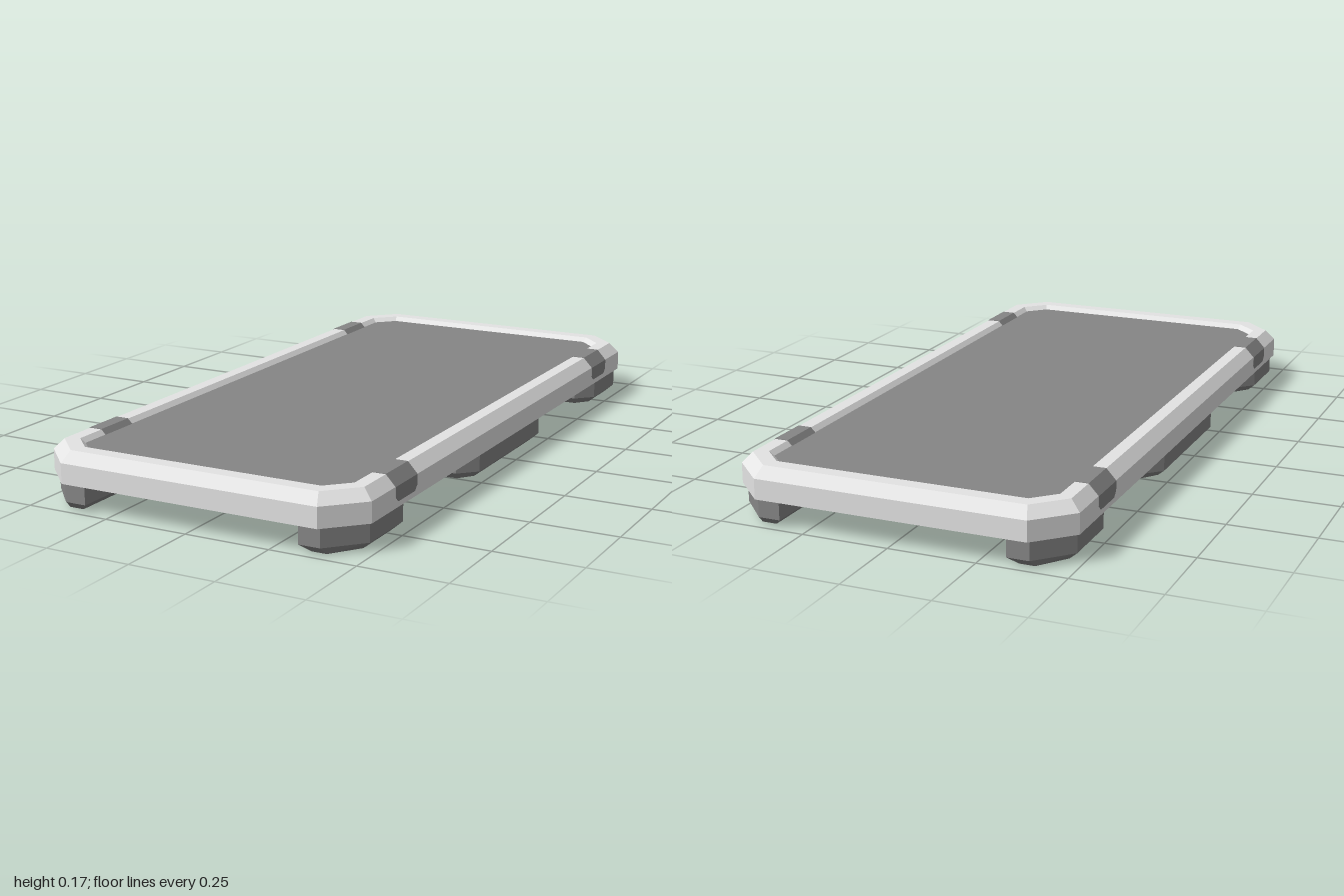
import * as THREE from 'three';

const frameMat = new THREE.MeshStandardMaterial({ name: 'light grey frame', color: 0xe4e4e4 });
const darkMat = new THREE.MeshStandardMaterial({ name: 'mid grey', color: 0x868686 });

// Skin a row of closed rings of [x, y, z] with flat faces and close both convex ends.
function loft(name, rings, material) {
  const pos = [];
  const tri = (a, b, c) => pos.push(...a, ...b, ...c);
  const n = rings[0].length;
  for (let k = 0; k + 1 < rings.length; k++) {
    for (let i = 0; i < n; i++) {
      const j = (i + 1) % n, p = rings[k], q = rings[k + 1];
      tri(p[i], p[j], q[j]);
      tri(p[i], q[j], q[i]);
    }
  }
  const first = rings[0], last = rings[rings.length - 1];
  for (let i = 1; i + 1 < n; i++) {
    tri(first[0], first[i + 1], first[i]);
    tri(last[0], last[i], last[i + 1]);
  }
  const geo = new THREE.BufferGeometry();
  geo.setAttribute('position', new THREE.Float32BufferAttribute(pos, 3));
  geo.computeVertexNormals();
  const mesh = new THREE.Mesh(geo, material);
  mesh.name = name;
  return mesh;
}

// Rectangle with cut corners, inset from the outer edge, at height y.
function outline(y, insetX, insetZ) {
  const x = 0.49 - insetX, z = 1 - insetZ, c = 0.1 - 0.586 * insetX;
  return [[x, z - c], [x, c - z], [x - c, -z], [c - x, -z],
    [-x, c - z], [-x, z - c], [c - x, z], [x - c, z]].map(([px, pz]) => [px, y, pz]);
}

// Mirror rings, keeping the faces outward.
function mirror(rings, sx, sz) {
  return rings.map((ring) => {
    const r = ring.map(([x, y, z]) => [x * sx, y, z * sz]);
    return sx * sz < 0 ? r.reverse() : r;
  });
}

// Foot with a bevelled sole, from its plan around a centre.
function footRings(plan, cx, cz, hx, hz) {
  const ring = (y, inset) => plan.map(([x, z]) =>
    [cx + (x - cx) * (1 - inset / hx), y, cz + (z - cz) * (1 - inset / hz)]);
  return [ring(0, 0.025), ring(0.022, 0), ring(0.078, 0)];
}

export function createModel() {
  const model = new THREE.Group();
  model.name = 'tray';

  // Bevelled body with its underside, and the sunken top panel
  model.add(loft('frame', [outline(0.077, 0, 0), outline(0.135, 0, 0), outline(0.165, 0.028, 0.03),
    outline(0.165, 0.066, 0.072), outline(0.15, 0.08, 0.088)], frameMat));
  model.add(loft('topPanel', [outline(0.149, 0.079, 0.087), outline(0.152, 0.079, 0.087)], darkMat));

  // Grip bands wrapped over the long sides
  const band = (z, low) => [[0.4915, low, z], [0.4915, 0.1355, z], [0.463, 0.1665, z],
    [0.4235, 0.1665, z], [0.409, 0.152, z], [0.409, low, z]];
  const bandRings = [band(0.645, 0.108), band(0.66, 0.093), band(0.755, 0.093), band(0.77, 0.108)];

  // Plans of the corner and middle feet, cut only on the outer side
  const cornerPlan = [[0.48, 0.89], [0.48, 0.705], [0.43, 0.655],
    [0.327, 0.655], [0.327, 0.985], [0.39, 0.985]];
  const middlePlan = [[0.48, 0.22], [0.48, -0.22], [0.43, -0.27],
    [0.327, -0.27], [0.327, 0.27], [0.43, 0.27]];
  const cornerFoot = footRings(cornerPlan, 0.404, 0.82, 0.077, 0.165);
  const middleFoot = footRings(middlePlan, 0.404, 0, 0.077, 0.27);

  for (const sx of [1, -1]) {
    const side = sx > 0 ? 'left' : 'right';
    model.add(loft(side + 'MiddleFoot', mirror(middleFoot, sx, 1), darkMat));
    for (const sz of [1, -1]) {
      const corner = side + (sz > 0 ? 'Front' : 'Back');
      model.add(loft(corner + 'Foot', mirror(cornerFoot, sx, sz), darkMat));
      model.add(loft(corner + 'GripBand', mirror(bandRings, sx, sz), darkMat));
    }
  }
  return model;
}
